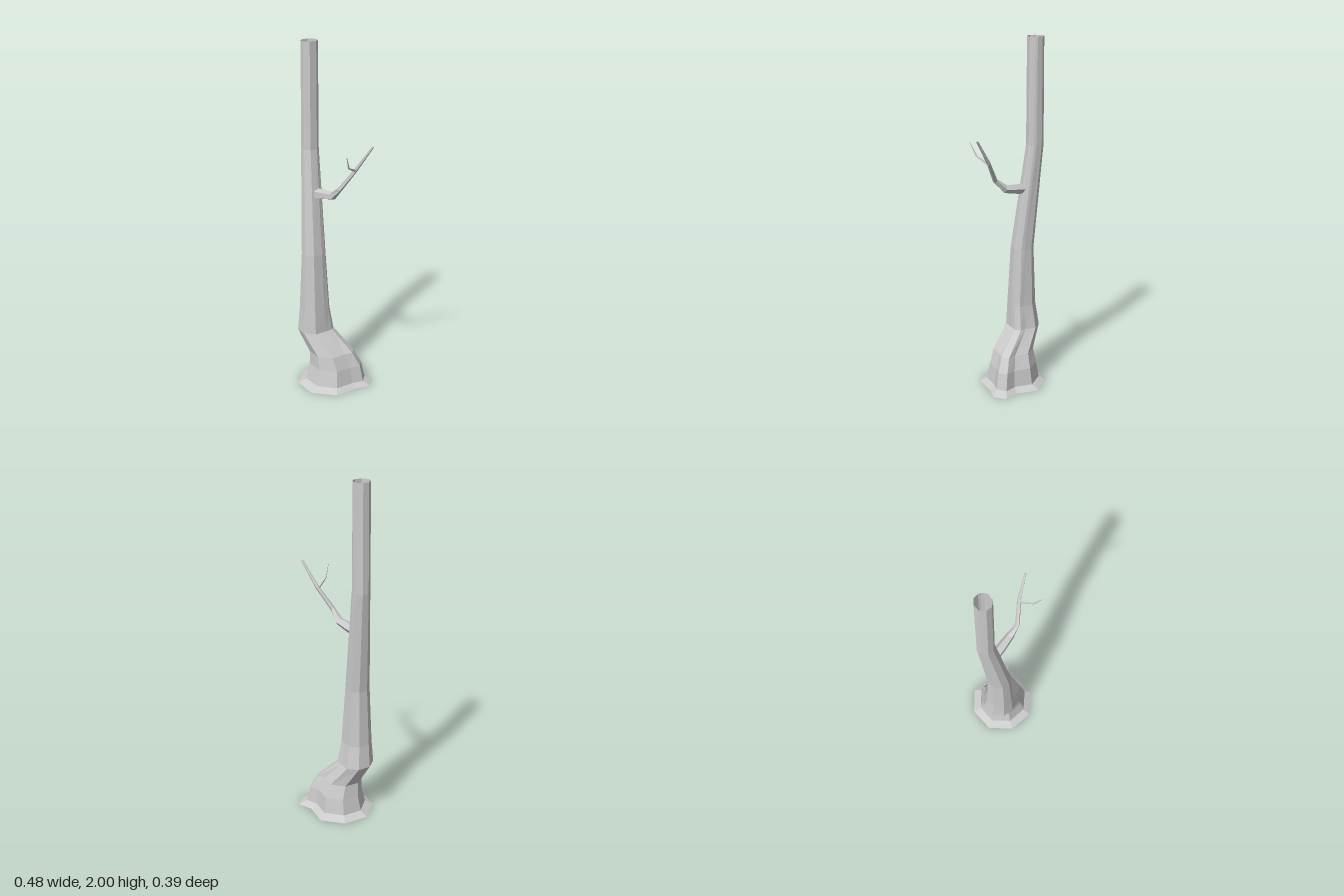
import * as THREE from 'three';

const material = new THREE.MeshStandardMaterial({
  color: 0xcccccc, flatShading: true, side: THREE.DoubleSide,
});

// Joins rings of points into a skin, with optional fans closing the ends.
function loft(name, rings, capStart, capEnd) {
  const pos = [];
  const tri = (...pts) => pts.forEach((p) => pos.push(p.x, p.y, p.z));
  const n = rings[0].length;
  for (let i = 0; i < rings.length - 1; i++) {
    for (let j = 0; j < n; j++) {
      const k = (j + 1) % n;
      const a = rings[i][j], b = rings[i][k], c = rings[i + 1][k], d = rings[i + 1][j];
      tri(b, a, d);
      tri(b, d, c);
    }
  }
  const fan = (ring, flip) => {
    const centre = new THREE.Vector3();
    ring.forEach((p) => centre.addScaledVector(p, 1 / n));
    ring.forEach((p, j) => {
      const q = ring[(j + 1) % n];
      if (flip) tri(centre, q, p);
      else tri(centre, p, q);
    });
  };
  if (capStart) fan(rings[0], false);
  if (capEnd) fan(rings[rings.length - 1], true);
  const geometry = new THREE.BufferGeometry();
  geometry.setAttribute('position', new THREE.Float32BufferAttribute(pos, 3));
  geometry.computeVertexNormals();
  const mesh = new THREE.Mesh(geometry, material);
  mesh.name = name;
  return mesh;
}

// Outline of the root flare, with a root bulging out at the back left.
const flare = [
  [-0.06, -0.197], [0.065, -0.145], [0.155, -0.158], [0.192, -0.087], [0.15, -0.01],
  [0.11, 0.125], [-0.025, 0.193], [-0.165, 0.148], [-0.235, 0.015], [-0.19, -0.125],
].map(([x, z]) => new THREE.Vector2((x + 0.0215) / 0.2135, z / 0.195));

// Trunk sections: height, x range, z range, how strongly the flare outline shows.
const sections = [
  [0, -0.235, 0.192, -0.195, 0.195, 1],
  [0.025, -0.188, 0.15, -0.15, 0.148, 1],
  [0.12, -0.17, 0.13, -0.135, 0.125, 1],
  [0.2, -0.162, 0.09, -0.105, 0.12, 0.9],
  [0.325, -0.23, -0.035, -0.07, 0.13, 0.6],
  [0.46, -0.215, -0.047, -0.045, 0.12, 0.45],
  [0.8, -0.2, -0.07, -0.033, 0.103, 0.3],
  [1.4, -0.24, -0.14, -0.056, 0.04, 0.1],
  [2, -0.235, -0.143, -0.058, 0.038, 0],
];

function trunkRing([y, x0, x1, z0, z1, blend]) {
  return flare.map((p) => {
    const q = p.clone().normalize().lerp(p, blend);
    return new THREE.Vector3(
      (x0 + x1) / 2 + q.x * (x1 - x0) / 2, y, (z0 + z1) / 2 + q.y * (z1 - z0) / 2);
  });
}

// Tapered limb along points given as x, y, z, radius.
function limb(name, path, sides) {
  const points = path.map((p) => new THREE.Vector3(p[0], p[1], p[2]));
  const rings = points.map((p, i) => {
    const t = points[Math.min(i + 1, points.length - 1)].clone()
      .sub(points[Math.max(i - 1, 0)]).normalize();
    const s = new THREE.Vector3().crossVectors(t, new THREE.Vector3(0, 1, 0)).normalize();
    const m = new THREE.Vector3().crossVectors(s, t);
    return Array.from({ length: sides }, (_, j) => {
      const a = ((j + 0.5) / sides) * Math.PI * 2;
      return p.clone()
        .addScaledVector(s, Math.cos(a) * path[i][3])
        .addScaledVector(m, Math.sin(a) * path[i][3]);
    });
  });
  return loft(name, rings, true, true);
}

export function createModel() {
  const tree = new THREE.Group();
  tree.name = 'bareTree';

  // Hollow trunk, open at the top
  tree.add(loft('trunk', sections.map(trunkRing), true, false));

  // Side branch
  tree.add(limb('branch', [
    [-0.15, 1.15, 0.01, 0.03], [-0.09, 1.156, 0.018, 0.03], [0, 1.168, 0.028, 0.024],
    [0.06, 1.222, 0.04, 0.014], [0.14, 1.34, 0, 0.011], [0.237, 1.48, -0.019, 0.006],
  ], 5));

  // Thin twig
  tree.add(limb('twig', [
    [0.136, 1.33, -0.003, 0.008], [0.156, 1.37, 0.085, 0.005], [0.171, 1.44, 0.122, 0.002],
  ], 4));

  return tree;
}
